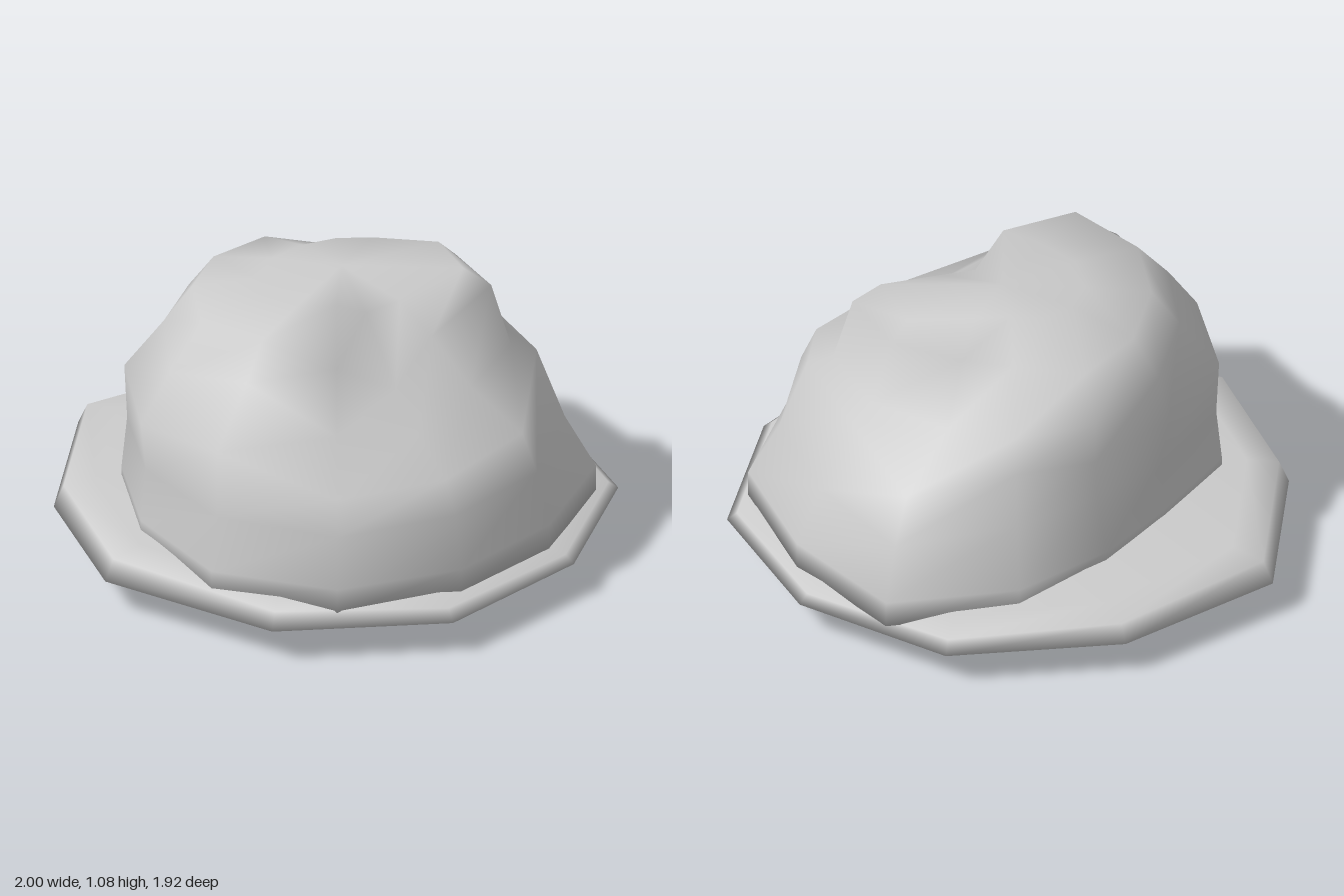
import * as THREE from 'three';

const material = new THREE.MeshStandardMaterial({ color: 0xcccccc, roughness: 0.9 });

// Skin closed rings of [x, y, z] points (bottom to top) and cap both ends with a point.
function skin(name, rings, bottom, top) {
  const n = rings[0].length;
  const points = [...rings.flat(), bottom, top];
  const last = rings.length - 1;
  const b = rings.length * n, t = b + 1;
  const index = [];
  for (let j = 0; j < n; j++) {
    const k = (j + 1) % n;
    for (let i = 0; i < last; i++) {
      const p = i * n + j, q = i * n + k;
      index.push(p, q, q + n, p, q + n, p + n);
    }
    index.push(b, k, j, t, last * n + j, last * n + k);
  }
  const geometry = new THREE.BufferGeometry();
  geometry.setAttribute('position', new THREE.Float32BufferAttribute(points.flat(), 3));
  geometry.setIndex(index);
  geometry.computeVertexNormals();
  const mesh = new THREE.Mesh(geometry, material);
  mesh.name = name;
  return mesh;
}

// Ring from radii and heights, one per equal angle, starting at the front and going to +x.
function polarRing(radii, heights) {
  return radii.map((r, i) => {
    const a = (i / radii.length) * Math.PI * 2;
    return [r * Math.sin(a), Array.isArray(heights) ? heights[i] : heights, r * Math.cos(a)];
  });
}

// Ten-sided shallow dish with a thin, slightly tilted rim.
function createBrim() {
  const outline = [
    [-0.23, 0.96], [0.41, 0.9], [0.84, 0.47], [1, -0.09], [0.77, -0.62],
    [0.27, -0.96], [-0.37, -0.92], [-0.91, -0.58], [-1, 0.04], [-0.82, 0.59],
  ];
  const levels = [
    [0.3, 0, 0], [0.6, 0.015, 0], [0.78, 0.045, 0], [1, 0.13, 0],
    [0.965, 0.185, -0.03], [0.85, 0.21, -0.025], [0.5, 0.25, 0],
  ];
  const rings = levels.map(([s, y, tilt]) => outline.map(([x, z]) => [x * s, y + tilt * x, z * s]));
  return skin('brim', rings, [0, 0, 0], [0, 0.27, 0]);
}

// Lumpy mound: wide skirt with a ledge on the +x side and back, leaning crown, dent at the front.
function createMound() {
  const foot = [0.91, 0.88, 0.87, 0.92, 0.89, 0.95, 0.77, 0.64, 0.62, 0.76, 0.80, 0.89];
  const skirt = [0.89, 0.84, 0.82, 0.81, 0.79, 0.88, 0.66, 0.58, 0.61, 0.74, 0.78, 0.85];
  const ledge = polarRing(
    [0.85, 0.77, 0.76, 0.71, 0.66, 0.79, 0.57, 0.57, 0.64, 0.75, 0.80, 0.85],
    [0.60, 0.58, 0.61, 0.74, 0.71, 0.63, 0.63, 0.62, 0.67, 0.68, 0.66, 0.73]);
  const crownRoot = polarRing(
    [0.64, 0.58, 0.55, 0.62, 0.57, 0.47, 0.48, 0.57, 0.60, 0.61, 0.68, 0.64],
    [0.74, 0.67, 0.74, 0.76, 0.76, 0.72, 0.72, 0.78, 0.84, 0.86, 0.84, 0.91]);
  const crownEdge = polarRing(
    [0.38, 0.42, 0.39, 0.55, 0.49, 0.36, 0.37, 0.50, 0.50, 0.51, 0.55, 0.53],
    [0.87, 0.78, 0.90, 1.00, 0.99, 0.95, 0.96, 0.96, 0.98, 1.00, 1.00, 1.03]);
  const crownTop = polarRing(
    [0.29, 0.21, 0.26, 0.45, 0.42, 0.26, 0.22, 0.24, 0.26, 0.28, 0.28, 0.28],
    [1.08, 0.99, 1.01, 1.07, 1.06, 1.07, 1.07, 1.05, 1.04, 1.03, 1.04, 1.05]);
  const rings = [
    polarRing(foot, 0.17), polarRing(foot, 0.27), polarRing(skirt, 0.47),
    ledge, crownRoot, crownEdge, crownTop,
  ];
  return skin('mound', rings, [0, 0.17, 0], [0.02, 1.07, -0.02]);
}

export function createModel() {
  const model = new THREE.Group();
  model.name = 'lumpyMoundOnDish';
  model.add(createBrim(), createMound());
  return model;
}
